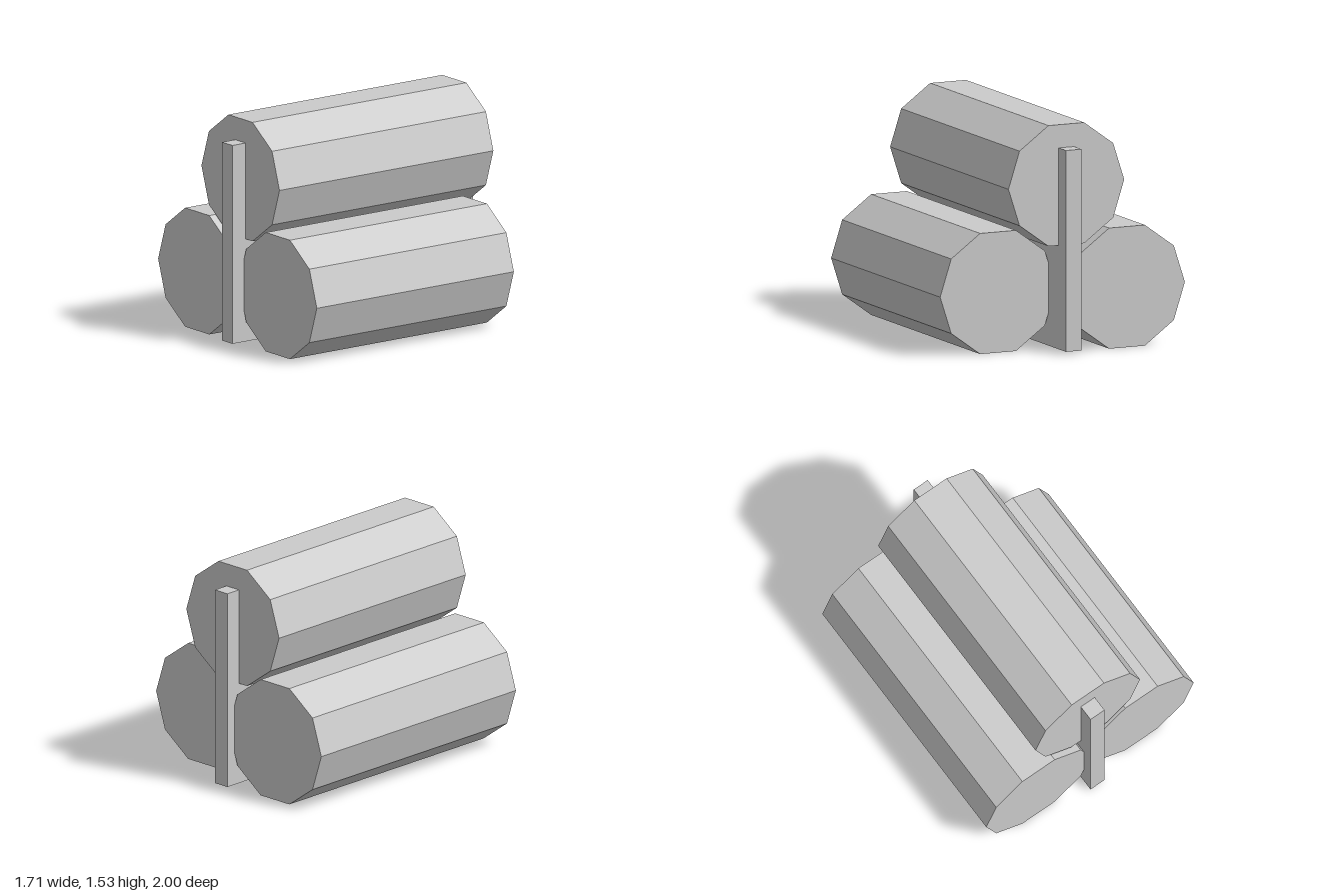
import * as THREE from 'three';

const SIDES = 10;
const RADIUS = 0.427;
const CORE = 0.325;

export function createModel() {
  const group = new THREE.Group();
  const material = new THREE.MeshStandardMaterial({ color: 0xcccccc, flatShading: true });

  const add = (parent, name, geometry) => {
    const mesh = new THREE.Mesh(geometry, material);
    mesh.name = name;
    parent.add(mesh);
    return mesh;
  };

  // One ten-sided log along z: bark, plus a rim and a core face on each end
  function addLog(name, x, y, back, front) {
    const log = new THREE.Group();
    log.name = name;
    log.position.set(x, y, (front + back) / 2);
    const length = front - back;

    const bark = new THREE.CylinderGeometry(RADIUS, RADIUS, length, SIDES, 1, true, Math.PI / 2);
    add(log, 'bark', bark.rotateX(Math.PI / 2));

    for (const [end, turn] of [['front', 0], ['back', Math.PI]]) {
      const rim = new THREE.RingGeometry(CORE, RADIUS, SIDES, 1);
      const core = new THREE.CircleGeometry(CORE, SIDES);
      add(log, end + 'Rim', rim.translate(0, 0, length / 2).rotateY(turn));
      add(log, end + 'Core', core.translate(0, 0, length / 2).rotateY(turn));
    }
    group.add(log);
  }

  addLog('topLog', 0, 1.125, -0.89, 0.89);
  addLog('leftLog', 0.428, 0.408, -0.735, 0.905);
  addLog('rightLog', -0.428, 0.408, -0.93, 0.925);

  // Upright board between the lower logs, running up into the top log
  const board = add(group, 'centreBoard', new THREE.BoxGeometry(0.114, 1.355, 2));
  board.position.y = 0.6975;

  return group;
}
